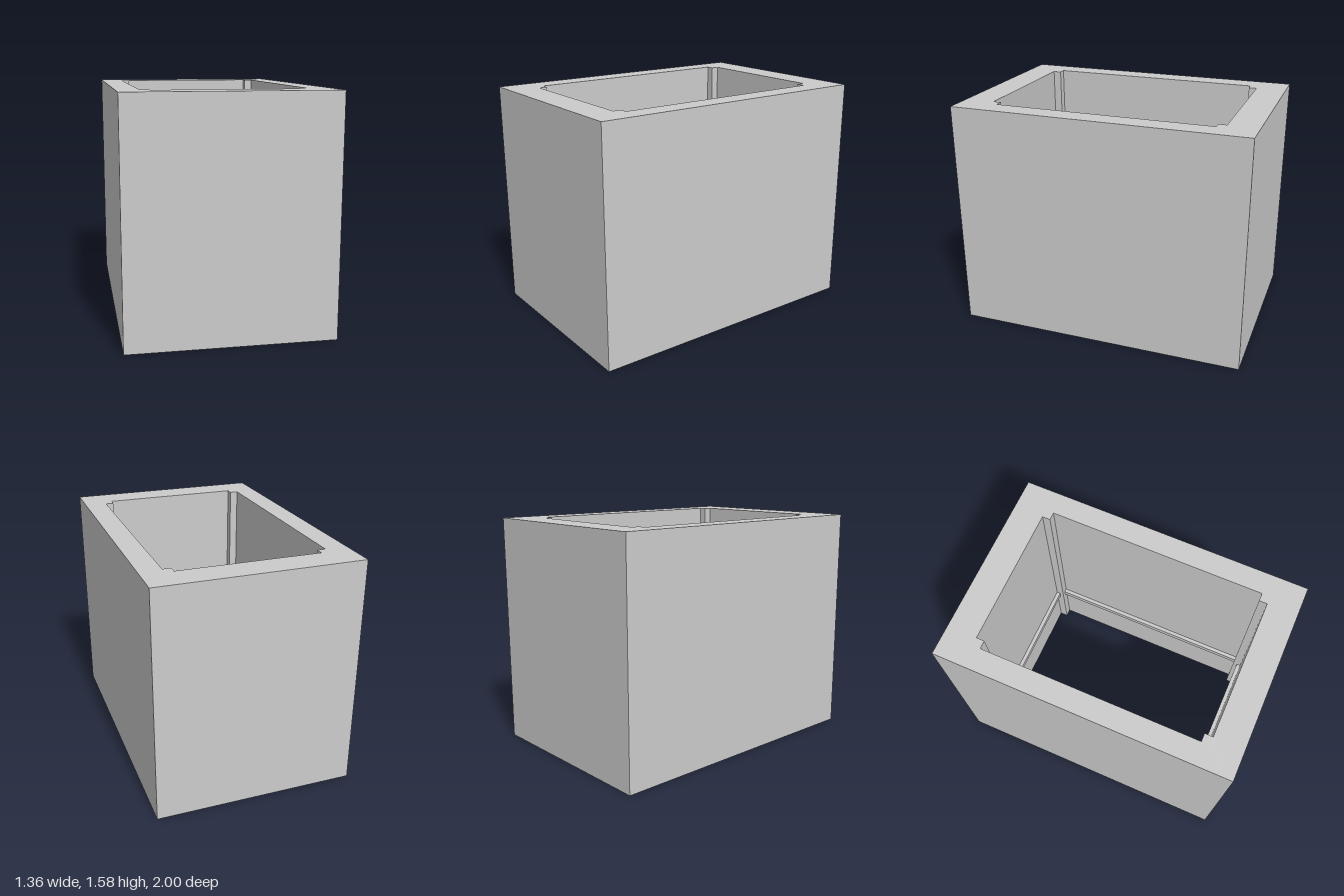
import * as THREE from 'three';

const W = 0.68, D = 1, H = 1.58;        // outer half width, half depth, height
const IX = 0.53, IZ = 0.795;            // half size of the inner shaft
const CX = 0.475, CZ = 0.74;            // where the inward corner posts begin
const RIB_Y = 0.375, RIB_H = 0.045, RIB_D = 0.027;
const DOOR = 0.083, DOOR_H = 0.19;      // opening at the foot of the front panel
const DUCT = 0.065, DUCT_H = 0.17;      // narrower pocket behind the opening

const mat = new THREE.MeshStandardMaterial({ color: 0xcccccc, side: THREE.DoubleSide, flatShading: true });

function add(group, name, geometry) {
  const mesh = new THREE.Mesh(geometry, mat);
  mesh.name = name;
  group.add(mesh);
  return mesh;
}

// Upright sheet following a plan path of [x, z] points
function sheet(path, y0, y1) {
  const pos = [], index = [];
  for (let i = 0; i < path.length - 1; i++) {
    const [ax, az] = path[i], [bx, bz] = path[i + 1], n = i * 4;
    pos.push(ax, y0, az, bx, y0, bz, bx, y1, bz, ax, y1, az);
    index.push(n, n + 1, n + 2, n, n + 2, n + 3);
  }
  const g = new THREE.BufferGeometry();
  g.setAttribute('position', new THREE.Float32BufferAttribute(pos, 3));
  g.setIndex(index);
  g.computeVertexNormals();
  return g;
}

function polygon(points) {
  return new THREE.Shape(points.map(([x, y]) => new THREE.Vector2(x, y)));
}

// Upright arch-shaped ring between the door opening and the pocket
function doorway(w, h) {
  return [[-w, 0], [-w, h], [w, h], [w, 0]];
}

// Three-sided passage (two sides and ceiling) running from z0 to z1
function passage(w, h, z0, z1) {
  const g = sheet(doorway(w, h), z0, z1);
  const p = g.attributes.position;
  for (let i = 0; i < p.count; i++) p.setXYZ(i, p.getX(i), p.getZ(i), p.getY(i));
  g.computeVertexNormals();
  return g;
}

export function createModel() {
  const model = new THREE.Group();
  model.name = 'hollowSleeve';

  // Outer shell, open underneath
  add(model, 'outerWalls', sheet([[-W, D], [W, D], [W, -D], [-W, -D], [-W, D]], 0, H));

  // Shaft outline, starting and ending at the front panel
  const shaft = [
    [CX, IZ], [CX, CZ], [IX, CZ], [IX, -CZ], [CX, -CZ], [CX, -IZ],
    [-CX, -IZ], [-CX, -CZ], [-IX, -CZ], [-IX, CZ], [-CX, CZ], [-CX, IZ],
  ];

  // Top rim with the shaft opening
  const rim = polygon([[-W, -D], [W, -D], [W, D], [-W, D]]);
  rim.holes.push(polygon(shaft.map(([x, z]) => [x, -z])));
  add(model, 'topRim', new THREE.ShapeGeometry(rim).rotateX(-Math.PI / 2).translate(0, H, 0));

  // Shaft walls, with the front panel notched at its foot
  add(model, 'shaftWalls', sheet([...shaft].reverse(), 0, H));
  const front = polygon([[-CX, 0], ...doorway(DOOR, DOOR_H), [CX, 0], [CX, H], [-CX, H]]);
  add(model, 'shaftFrontPanel', new THREE.ShapeGeometry(front).rotateY(Math.PI).translate(0, 0, IZ));

  // Ribs running along the four shaft walls
  for (const s of [-1, 1]) {
    add(model, 'sideRib', new THREE.BoxGeometry(RIB_D, RIB_H, 2 * CZ))
      .position.set(s * (IX - RIB_D / 2), RIB_Y + RIB_H / 2, 0);
    add(model, 'endRib', new THREE.BoxGeometry(2 * CX, RIB_H, RIB_D))
      .position.set(0, RIB_Y + RIB_H / 2, s * (IZ - RIB_D / 2));
  }

  // Stepped pocket behind the front opening
  const zStep = 0.82, zEnd = 0.96;
  add(model, 'openingReveal', passage(DOOR, DOOR_H, IZ, zStep));
  const frame = polygon([...doorway(DOOR, DOOR_H), ...doorway(DUCT, DUCT_H).reverse()]);
  add(model, 'openingFrame', new THREE.ShapeGeometry(frame).rotateY(Math.PI).translate(0, 0, zStep));
  add(model, 'pocketWalls', passage(DUCT, DUCT_H, zStep, zEnd));
  add(model, 'pocketEnd', new THREE.PlaneGeometry(2 * DUCT, DUCT_H).rotateY(Math.PI).translate(0, DUCT_H / 2, zEnd));

  return model;
}
